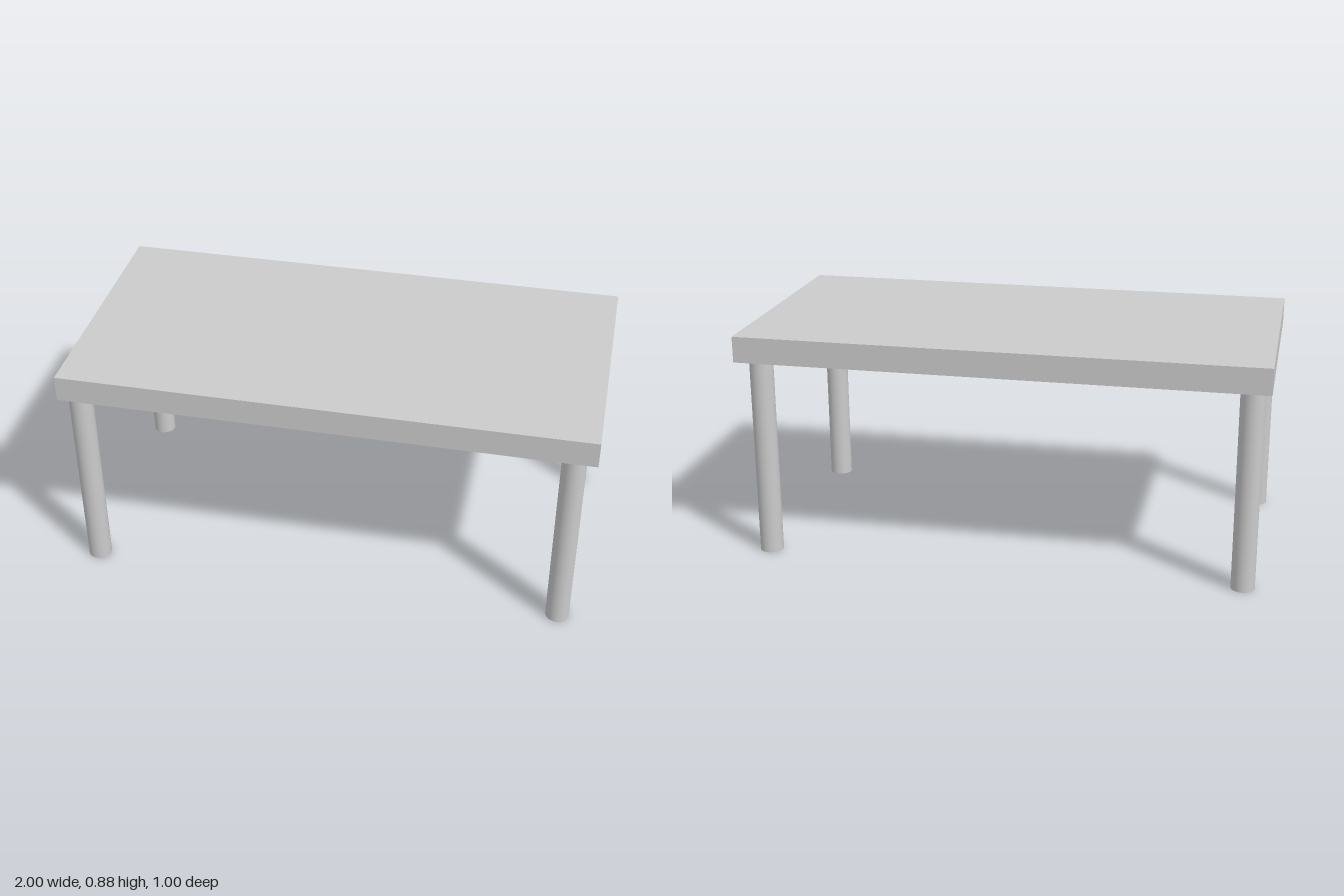
import * as THREE from 'three';

const HEIGHT = 0.88, TOP_THICKNESS = 0.1, LEG_RADIUS = 0.045;

export function createModel() {
  const table = new THREE.Group();
  table.name = 'table';
  const material = new THREE.MeshStandardMaterial({ color: 0xcccccc });

  // Rectangular slab top
  const top = new THREE.Mesh(new THREE.BoxGeometry(2, TOP_THICKNESS, 1), material);
  top.name = 'tableTop';
  top.position.y = HEIGHT - TOP_THICKNESS / 2;
  table.add(top);

  // Round legs, set slightly unevenly at the corners
  const legHeight = HEIGHT - TOP_THICKNESS;
  const legGeometry = new THREE.CylinderGeometry(LEG_RADIUS, LEG_RADIUS, legHeight, 32);
  const legs = [
    ['frontLeftLeg', 0.915, 0.435],
    ['frontRightLeg', -0.93, 0.443],
    ['backLeftLeg', 0.915, -0.434],
    ['backRightLeg', -0.93, -0.424],
  ];
  for (const [name, x, z] of legs) {
    const leg = new THREE.Mesh(legGeometry, material);
    leg.name = name;
    leg.position.set(x, legHeight / 2, z);
    table.add(leg);
  }
  return table;
}
